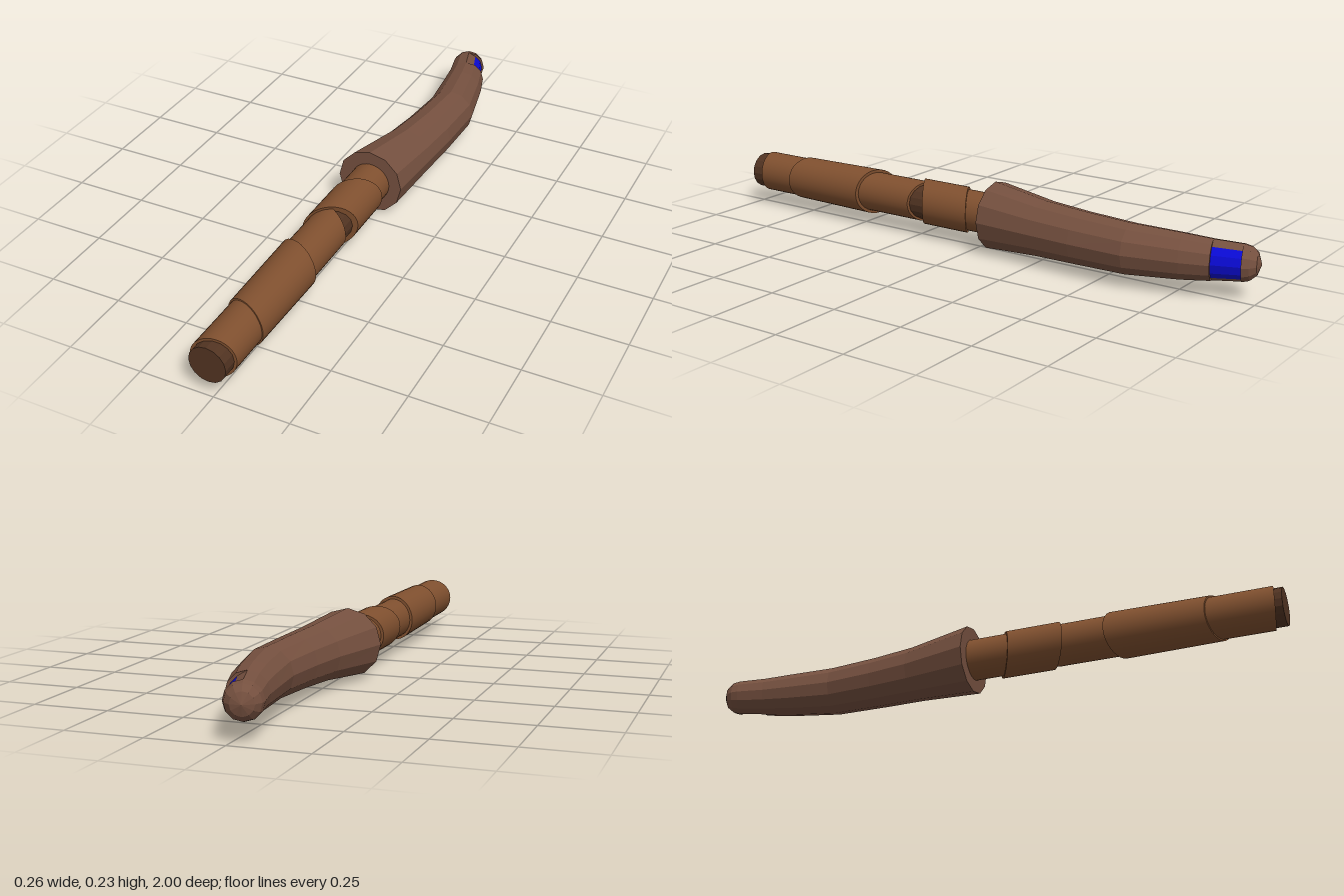
import * as THREE from 'three';

const AXIS_X = -0.013, AXIS_Y = 0.115, SIDES = 12;

function material(name, color, flatShading = false) {
  const m = new THREE.MeshStandardMaterial({ color, flatShading });
  m.name = name;
  return m;
}

// Round piece along z whose ends are cut at a slant (z shift per unit x)
function slantedTube(front, back, rFront, rBack, slantFront, slantBack, sides) {
  const length = front - back;
  const g = new THREE.CylinderGeometry(rFront, rBack, length, sides);
  g.rotateX(Math.PI / 2);
  const p = g.attributes.position;
  for (let i = 0; i < p.count; i++) {
    const slant = p.getZ(i) > 0 ? slantFront : slantBack;
    p.setZ(i, p.getZ(i) + slant * p.getX(i));
  }
  g.translate(AXIS_X, AXIS_Y, (front + back) / 2);
  return g;
}

// Curved grip cross-sections: centre x, centre z, radius, tilt, dent scale
const SECTIONS = [
  [-0.015, -0.05, 0, 0, 1],
  [-0.015, -0.05, 0.115, 0, 1],
  [0.02, -0.27, 0.094, -0.12, 1],
  [0.035, -0.42, 0.088, -0.08, 1],
  [0.044, -0.6, 0.083, 0.08, 1],
  [0.016, -0.765, 0.074, 0.25, 1],
  [-0.004, -0.855, 0.066, 0.29, 1],
  [-0.004, -0.855, 0.066, 0.29, 0.86],
  [-0.03, -0.943, 0.06, 0.3, 0.86],
  [-0.03, -0.943, 0.06, 0.3, 1],
  [-0.037, -0.965, 0.054, 0.3, 1],
  [-0.043, -0.985, 0.036, 0.3, 1],
  [-0.046, -0.997, 0, 0.3, 1],
];
const INLAY_ROW = 7;

function sectionPoint(i, j) {
  const [cx, cz, r, tilt, dent] = SECTIONS[i];
  const a = (j % SIDES) * 2 * Math.PI / SIDES;
  const radius = Math.cos(a) > 0.49 ? r * dent : r;
  const u = radius * Math.cos(a);
  return [cx + u * Math.cos(tilt), AXIS_Y + radius * Math.sin(a), cz - u * Math.sin(tilt)];
}

// Faces of the grip, either the inlay patch or everything else
function gripGeometry(inlay) {
  const pos = [];
  for (let i = 0; i < SECTIONS.length - 1; i++) {
    for (let j = 0; j < SIDES; j++) {
      const isInlay = i === INLAY_ROW && (j < 2 || j >= SIDES - 2);
      if (isInlay !== inlay) continue;
      const a = sectionPoint(i, j), b = sectionPoint(i + 1, j);
      const c = sectionPoint(i + 1, j + 1), d = sectionPoint(i, j + 1);
      if (SECTIONS[i + 1][2] > 0) pos.push(...a, ...b, ...c);
      if (SECTIONS[i][2] > 0) pos.push(...a, ...c, ...d);
    }
  }
  const g = new THREE.BufferGeometry();
  g.setAttribute('position', new THREE.Float32BufferAttribute(pos, 3));
  g.computeVertexNormals();
  return g;
}

export function createModel() {
  const group = new THREE.Group();
  const gripBrown = material('grip brown', 0x75503f, true);
  const wrapBrown = material('wrap brown', 0x80502f);
  const coreBrown = material('dark core brown', 0x523422, true);
  const blue = material('inlay blue', 0x0a0ad2, true);

  const add = (name, geometry, mat) => {
    const mesh = new THREE.Mesh(geometry, mat);
    mesh.name = name;
    group.add(mesh);
  };

  // Curved grip with its recessed inlay
  add('grip', gripGeometry(false), gripBrown);
  add('inlay', gripGeometry(true), blue);

  // Dark core running through the shaft
  add('core', slantedTube(1, -0.04, 0.062, 0.062, 0, 0, 16), coreBrown);

  // Overlapping wraps: front, back, front and back radius, front and back slant
  const wraps = [
    [0.965, 0.7, 0.07, 0.07, -0.2, 0],
    [0.785, 0.46, 0.075, 0.079, 0.35, 0.4],
    [0.55, 0.235, 0.069, 0.069, 0, 0.5],
    [0.245, 0.06, 0.077, 0.077, -0.6, -0.55],
    [0.12, -0.055, 0.069, 0.069, 0, 0],
  ];
  wraps.forEach((w, i) => add('wrap' + (i + 1), slantedTube(...w, 32), wrapBrown));

  return group;
}
